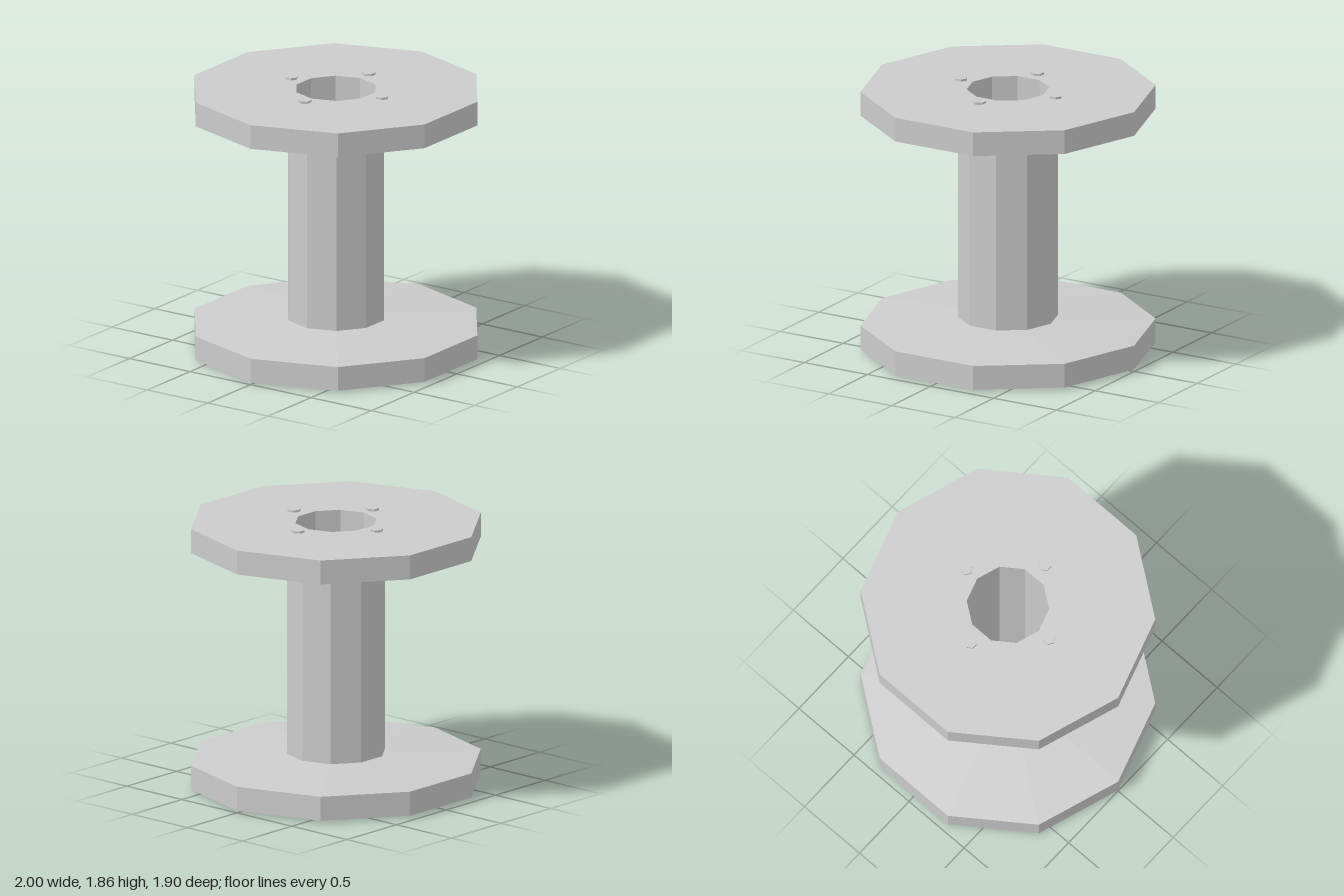
import * as THREE from 'three';

const material = new THREE.MeshStandardMaterial({ color: 0xcccccc, flatShading: true });
const SIDES = 10;
const HEIGHT = 1.855;

// Ten-sided ring swept from [radius, y] points, with a corner on the x axis
function ring(name, points) {
  const profile = points.map(([r, y]) => new THREE.Vector2(r, y));
  const mesh = new THREE.Mesh(new THREE.LatheGeometry(profile, SIDES, Math.PI / 2), material);
  mesh.name = name;
  return mesh;
}

// Flange with a gently sloped inner face, and four hexagonal bolt heads outside
function createFlange(name) {
  const group = new THREE.Group();
  group.name = name;
  group.add(ring('disc', [[0.28, 0.015], [1, 0.015], [1, 0.183], [0.34, 0.228]]));

  const boltGeometry = new THREE.CylinderGeometry(0.045, 0.045, 0.03, 6);
  for (let i = 0; i < 4; i++) {
    const angle = i * Math.PI / 2;
    const bolt = new THREE.Mesh(boltGeometry, material);
    bolt.name = 'bolt';
    bolt.position.set(Math.sin(angle) * 0.375 + 0.004, 0.015, Math.cos(angle) * 0.375 - 0.003);
    bolt.rotation.y = angle;
    group.add(bolt);
  }
  return group;
}

export function createModel() {
  const model = new THREE.Group();
  model.name = 'spool';

  const bottom = createFlange('bottomFlange');
  const top = createFlange('topFlange');
  // Turn the second flange over about the x axis
  top.rotation.x = Math.PI;
  top.position.y = HEIGHT;

  // Hollow core: outer barrel and the bore running through it
  const barrel = ring('barrel', [[0.34, 0.228], [0.34, HEIGHT - 0.228]]);
  const bore = ring('bore', [[0.28, HEIGHT - 0.015], [0.28, 0.015]]);

  model.add(bottom, top, barrel, bore);
  return model;
}
